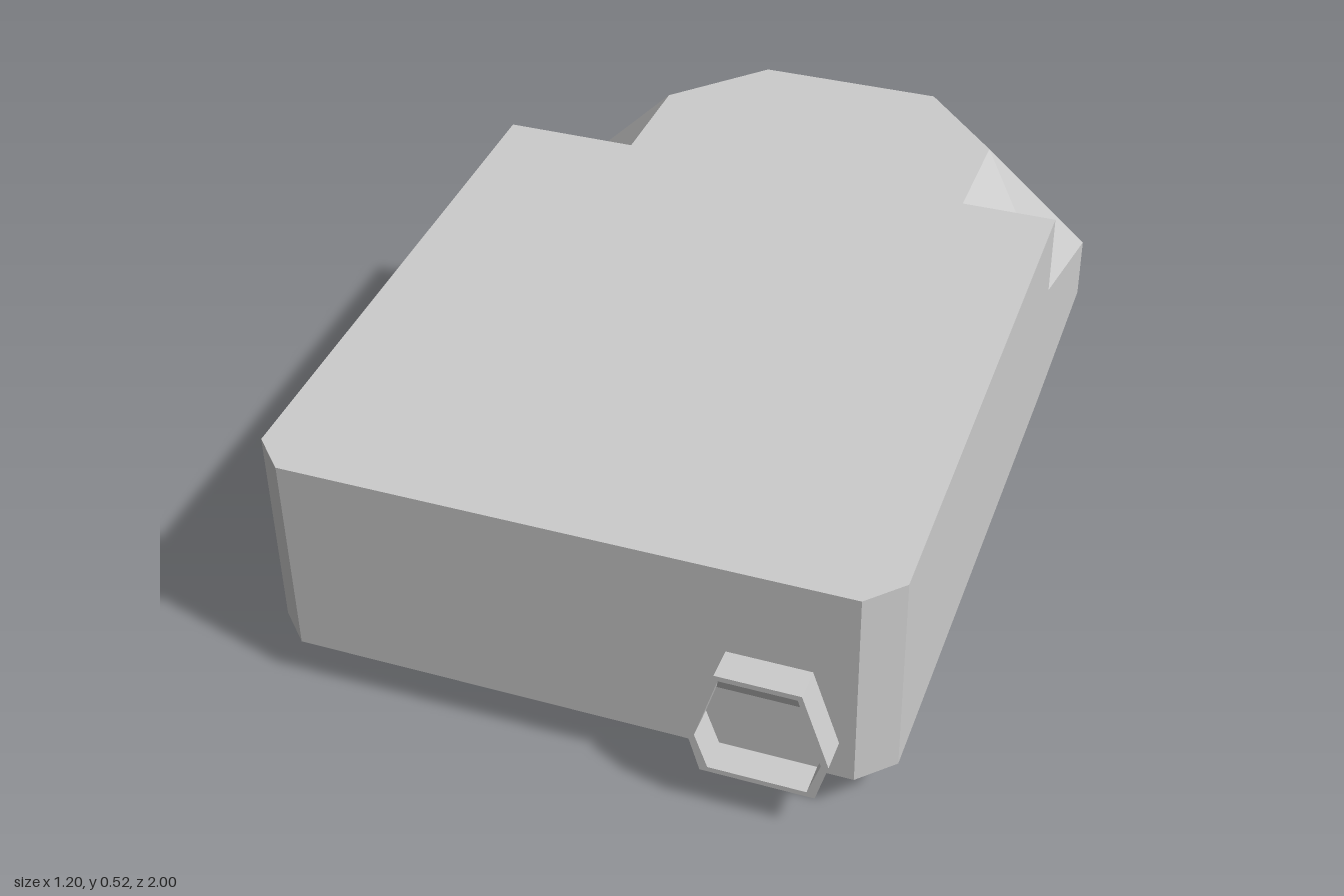
import * as THREE from 'three';

const material = new THREE.MeshStandardMaterial({ color: 0xcccccc, flatShading: true });

// Flat-faced mesh from convex polygons listed counter-clockwise.
function faceMesh(name, faces) {
  const pos = [];
  for (const f of faces)
    for (let i = 1; i < f.length - 1; i++) pos.push(...f[0], ...f[i], ...f[i + 1]);
  const g = new THREE.BufferGeometry();
  g.setAttribute('position', new THREE.Float32BufferAttribute(pos, 3));
  g.computeVertexNormals();
  const m = new THREE.Mesh(g, material);
  m.name = name;
  return m;
}

const flip = ([x, y, z]) => [-x, y, z];
// Completes a half outline with its mirrored points.
const mirrored = (half) => [...half, ...half.map(flip).reverse()];
// Quads between two open outlines, lower one first.
const band = (a, b) => a.slice(1).map((p, i) => [a[i], p, b[i + 1], b[i]]);
const reversed = (ring) => [...ring].reverse();

const W = 0.575;      // half width of the body
const BACK = -0.2;    // where the main block meets the rear hull
const topY = (z) => 0.525 - (z - BACK) * 0.035;

// Main block with clipped front corners and a gently sloping top
function mainBlock() {
  const plan = [[-W, BACK], [-W, 0.88], [-W + 0.06, 0.94]];
  const low = mirrored(plan.map(([x, z]) => [x, 0.088, z]));
  const high = mirrored(plan.map(([x, z]) => [x, topY(z), z]));
  return faceMesh('mainBlock', [...band(low, high), high, reversed(low)]);
}

// Tapered rear hull with its deck and the ramp up to the main block
function rearHull() {
  const rim = mirrored([[W, 0.088, BACK], [W, 0.1, -0.6], [0.1925, 0.1, -1]]);
  const belt = mirrored([[W, 0.36, BACK], [W, 0.23, -0.6], [0.1925, 0.23, -1]]);
  const deck = mirrored([[0.3625, 0.445, -0.285], [0.3625, 0.445, -0.56], [0.1925, 0.445, -0.745]]);
  const edge = [W, topY(BACK), BACK];
  const cheek = [belt[0], deck[0], edge];
  return faceMesh('rearHull', [
    ...band(rim, belt), ...band(belt, deck), deck,
    [deck[0], flip(deck[0]), flip(edge), edge],
    cheek, reversed(cheek.map(flip)),
  ]);
}

// Chamfered keel under the rear hull
function keel() {
  const low = mirrored([[0.485, 0, -0.18], [0.485, 0, -0.563], [0.153, 0, -0.91]]);
  const high = mirrored([[W, 0.088, -0.18], [W, 0.1, -0.6], [0.1925, 0.1, -1]]);
  return faceMesh('keel', [
    ...band(low, high), reversed(low),
    [flip(low[0]), low[0], high[0], flip(high[0])],
  ]);
}

// Six-sided socket facing +z, with a sloped hood inside
function socket(name) {
  const depth = 0.06;
  const outline = (half) => [...half, ...half.map(([x, y]) => [-x, y]).reverse()]
    .map(([x, y]) => new THREE.Vector2(x, y));
  const shape = new THREE.Shape(outline([[0.101, 0.087], [0.123, 0.165], [0.075, 0.31]]));
  shape.holes.push(new THREE.Path(outline([[0.087, 0.097], [0.11, 0.165], [0.068, 0.3]])));
  const frame = new THREE.Mesh(
    new THREE.ExtrudeGeometry(shape, { depth, bevelEnabled: false }), material);
  frame.name = 'socketFrame';
  const hood = faceMesh('socketHood', [
    [[-0.068, 0.3, depth - 0.002], [-0.091, 0.225, 0], [0.091, 0.225, 0], [0.068, 0.3, depth - 0.002]],
  ]);
  const group = new THREE.Group();
  group.name = name;
  group.add(frame, hood);
  return group;
}

export function createModel() {
  const model = new THREE.Group();
  model.name = 'model';

  // Body sits slightly off centre because one socket sticks out of its side
  const body = new THREE.Group();
  body.name = 'body';
  body.position.x = 0.025;
  body.add(mainBlock(), rearHull(), keel());

  const frontSocket = socket('frontSocket');
  frontSocket.position.set(0.389, 0, 0.94);

  const sideSocket = socket('sideSocket');
  sideSocket.position.set(-0.55, 0, 0);
  sideSocket.rotation.y = -Math.PI / 2;
  sideSocket.scale.z = 0.85;

  model.add(body, frontSocket, sideSocket);
  return model;
}
